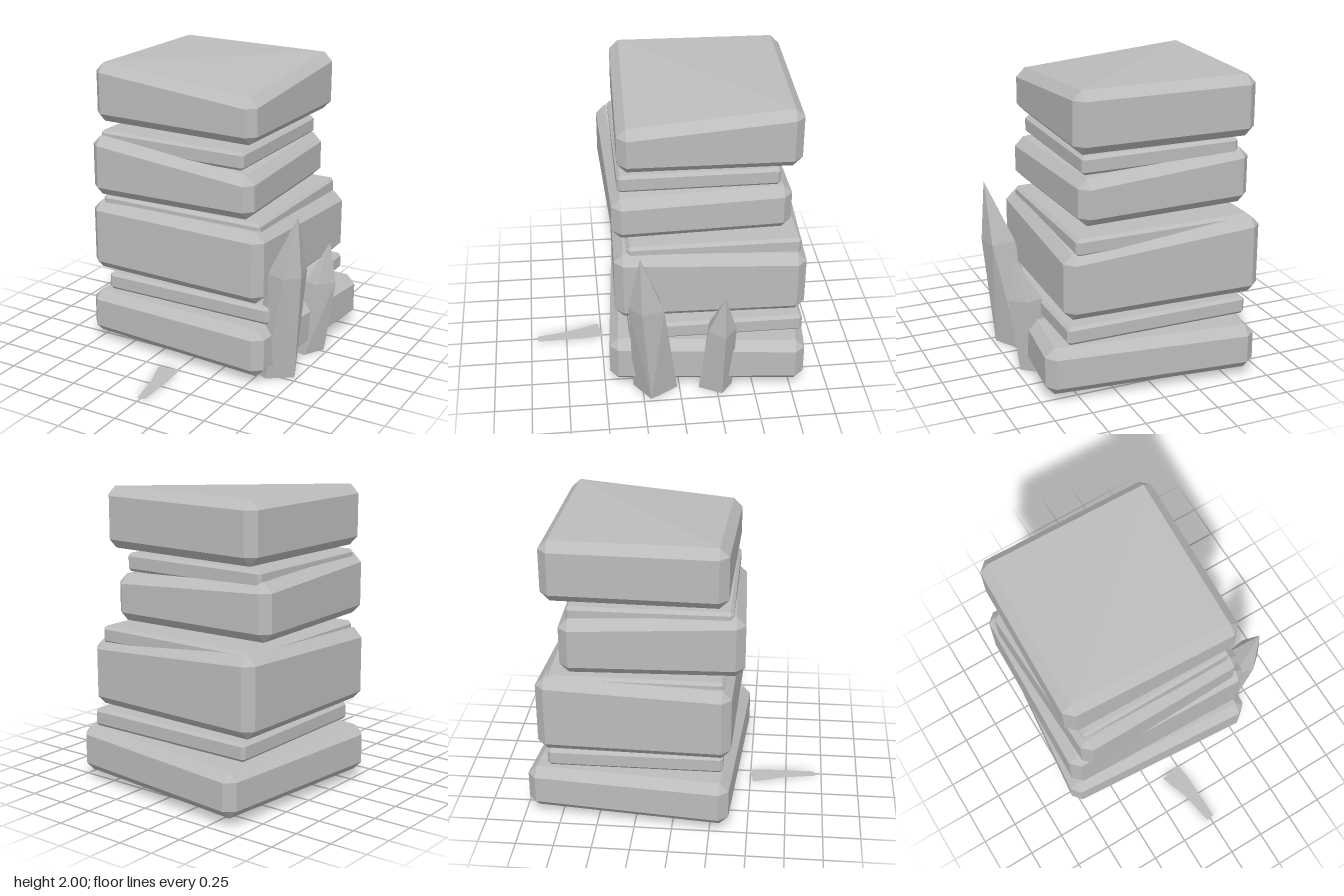
import * as THREE from 'three';
import { ConvexGeometry } from 'three/addons/geometries/ConvexGeometry.js';

const V = (x, y, z) => new THREE.Vector3(x, y, z);

// Bevelled slab: four footprint corners [x, z] (front left, front right, back right, back left
// as seen from the front), a flat bottom, and one top height per corner.
function slabGeometry(corners, bottom, tops, bevel) {
  const points = [];
  corners.forEach(([x, z], i) => {
    const toward = (k) => {
      const [nx, nz] = corners[(i + k) % 4];
      return V(nx - x, 0, nz - z).setLength(bevel);
    };
    const u = toward(1), v = toward(3);
    for (const [y, inward] of [[bottom, bevel], [tops[i], -bevel]]) {
      const c = V(x, y, z);
      points.push(c.clone().add(u).add(v));
      points.push(c.clone().add(u).setY(y + inward));
      points.push(c.clone().add(v).setY(y + inward));
    }
  });
  return new ConvexGeometry(points);
}

const rect = (x0, x1, z0, z1) => [[x0, z1], [x1, z1], [x1, z0], [x0, z0]];
const level = (y) => [y, y, y, y];

// Leaning crystal: base ring on the ground, wider shoulder ring, and a tip.
function crystalGeometry(base, shoulder, shoulderY, tip) {
  return new ConvexGeometry([
    ...base.map(([x, z]) => V(x, 0, z)),
    ...shoulder.map(([x, z]) => V(x, shoulderY, z)),
    V(...tip),
  ]);
}

export function createModel() {
  const group = new THREE.Group();
  const stone = new THREE.MeshStandardMaterial({ color: 0xbcbcbc, side: THREE.DoubleSide, flatShading: true });
  stone.name = 'grey stone';
  const add = (name, geometry) => {
    const mesh = new THREE.Mesh(geometry, stone);
    mesh.name = name;
    group.add(mesh);
    return mesh;
  };

  // Thick blocks, each turned a little and with an uneven top
  const blocks = [
    ['bottomBlock', [[-0.8, 0.37], [0.6, 0.47], [0.73, -0.83], [-0.67, -0.98]], 0.055, [0.37, 0.39, 0.375, 0.36]],
    ['lowerBlock', [[-0.77, 0.38], [0.57, 0.42], [0.6, -0.84], [-0.74, -0.88]], 0.55, [1.04, 1.04, 0.99, 1.075]],
    ['upperBlock', [[-0.7, 0.46], [0.5, 0.42], [0.46, -0.75], [-0.74, -0.71]], 1.12, [1.53, 1.415, 1.43, 1.49]],
    ['topBlock', [[-0.74, 0.35], [0.49, 0.38], [0.51, -0.79], [-0.71, -0.82]], 1.6, [2, 1.905, 2, 2]],
  ];
  for (const [name, corners, bottom, tops] of blocks) add(name, slabGeometry(corners, bottom, tops, 0.06));

  // Thin spacer plates between the blocks
  const plates = [
    ['lowerPlate', rect(-0.66, 0.59, -0.83, 0.33), 0.395, 0.515],
    ['middlePlate', rect(-0.69, 0.52, -0.81, 0.33), 0.97, 1.085],
    ['upperPlate', rect(-0.66, 0.42, -0.67, 0.38), 1.44, 1.56],
  ];
  for (const [name, corners, bottom, top] of plates) add(name, slabGeometry(corners, bottom, level(top), 0.02));

  // Crystals leaning against the left side
  add('tallCrystal', crystalGeometry(
    [[0.73, 0.2], [0.57, 0.31], [0.42, 0.24], [0.44, 0.08], [0.62, 0.015]],
    [[0.79, 0.26], [0.7, 0.34], [0.57, 0.3], [0.59, 0.14], [0.76, 0.115]],
    0.75, [0.76, 1.165, 0.265]));
  add('shortCrystal', crystalGeometry(
    [[0.72, -0.28], [0.62, -0.36], [0.5, -0.33], [0.5, -0.17], [0.64, -0.13]],
    [[0.79, -0.285], [0.69, -0.37], [0.58, -0.34], [0.6, -0.2], [0.7, -0.18]],
    0.52, [0.74, 0.805, -0.285]));

  // Flat shard lying on the ground in front
  const outline = [[-0.14, 0.52], [0.01, 0.49], [0.025, 0.64], [0.03, 0.95], [-0.025, 0.96], [-0.07, 0.72]];
  const shard = new THREE.ShapeGeometry(new THREE.Shape(outline.map(([x, z]) => new THREE.Vector2(x, -z))));
  add('groundShard', shard.rotateX(-Math.PI / 2));

  return group;
}
